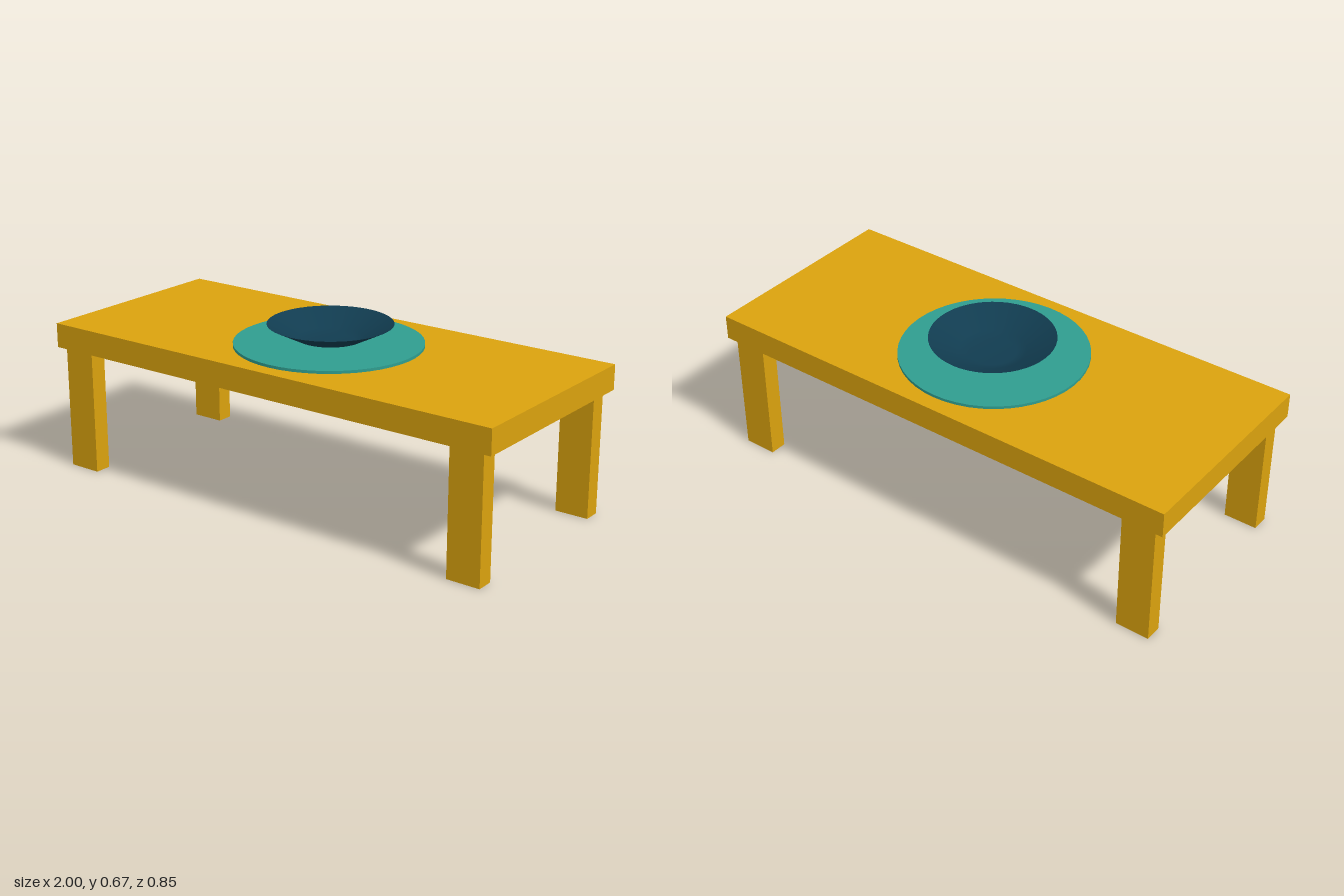
import * as THREE from 'three';

export function createModel() {
  const model = new THREE.Group();
  const wood = new THREE.MeshStandardMaterial({ color: 0xdaa20e });
  wood.name = 'golden wood';
  const teal = new THREE.MeshStandardMaterial({ color: 0x2f9d8f });
  teal.name = 'teal';
  const navy = new THREE.MeshStandardMaterial({ color: 0x113c50, side: THREE.DoubleSide });
  navy.name = 'dark blue';

  const add = (name, geometry, material, x, y, z) => {
    const mesh = new THREE.Mesh(geometry, material);
    mesh.name = name;
    mesh.position.set(x, y, z);
    model.add(mesh);
  };

  // Table top and four legs
  add('tableTop', new THREE.BoxGeometry(2, 0.098, 0.85), wood, 0, 0.542, 0);
  const legGeometry = new THREE.BoxGeometry(0.135, 0.493, 0.068);
  for (const [sx, side] of [[1, 'Left'], [-1, 'Right']]) {
    for (const [sz, end] of [[1, 'front'], [-1, 'back']]) {
      add(`${end}${side}Leg`, legGeometry, wood, sx * 0.897, 0.2465, sz * 0.377);
    }
  }

  // Round place mat
  add('mat', new THREE.CylinderGeometry(0.363, 0.363, 0.011, 48), teal, 0.02, 0.5965, 0.001);

  // Thin open bowl, wide at the rim
  const profile = [[0, 0.001], [0.09, 0.001], [0.128, 0.011], [0.241, 0.068]]
    .map(([r, y]) => new THREE.Vector2(r, y));
  add('bowl', new THREE.LatheGeometry(profile, 48), navy, 0.018, 0.602, -0.011);

  return model;
}
